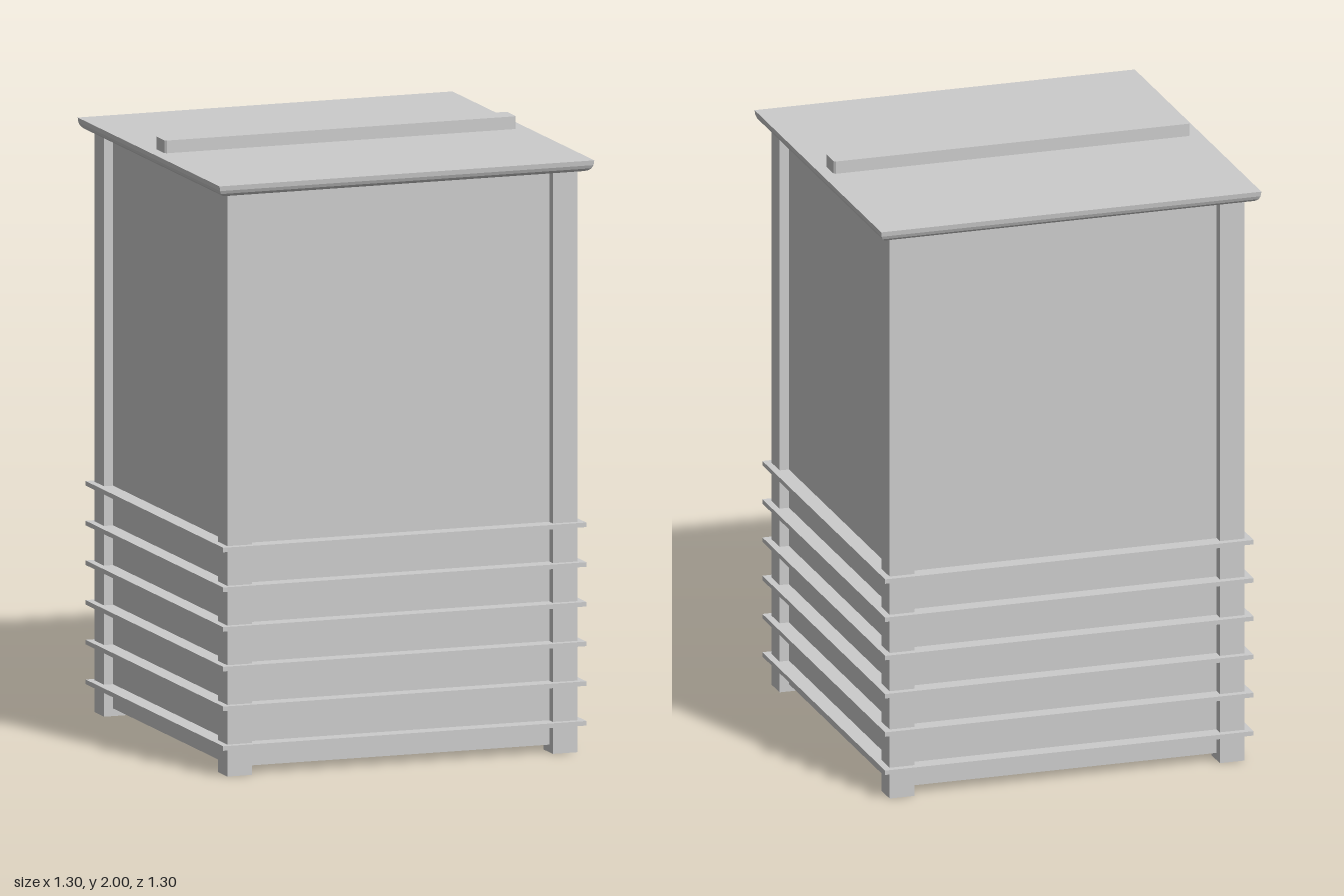
import * as THREE from 'three';

export function createModel() {
  const group = new THREE.Group();
  const material = new THREE.MeshStandardMaterial({ color: 0xcccccc, flatShading: true });

  const add = (name, geometry, x = 0, y = 0, z = 0) => {
    const mesh = new THREE.Mesh(geometry, material);
    mesh.name = name;
    mesh.position.set(x, y, z);
    group.add(mesh);
    return mesh;
  };

  // Recessed body panels
  const bodyBottom = 0.025, lidBottom = 1.92;
  const bodyHeight = lidBottom - bodyBottom;
  add('body', new THREE.BoxGeometry(1.15, bodyHeight, 1.15), 0, bodyBottom + bodyHeight / 2, 0);

  // Corner posts, which end in short feet
  const post = new THREE.BoxGeometry(0.085, lidBottom, 0.085);
  for (const sx of [-1, 1]) {
    for (const sz of [-1, 1]) {
      add('cornerPost', post, sx * 0.5645, lidBottom / 2, sz * 0.5645);
    }
  }

  // Evenly spaced slats around the lower part
  const slat = new THREE.BoxGeometry(1.26, 0.015, 1.26);
  for (let i = 0; i < 6; i++) add('slat', slat, 0, 0.098 + i * 0.131, 0);

  // Square lid with a rounded lower edge
  const profile = [
    [0, lidBottom], [0.625, lidBottom], [0.635, 1.924], [0.643, 1.931],
    [0.648, 1.942], [0.65, 1.958], [0, 1.958],
  ].map(([halfWidth, y]) => new THREE.Vector2(halfWidth * Math.SQRT2, y));
  const lid = new THREE.LatheGeometry(profile, 4).rotateY(Math.PI / 4).toNonIndexed();
  lid.computeVertexNormals();
  add('lid', lid);

  // Batten across the lid, with its upright corners trimmed
  const hx = 0.609, hz = 0.0425, c = 0.006;
  const outline = new THREE.Shape([
    [-hx + c, -hz], [hx - c, -hz], [hx, -hz + c], [hx, hz - c],
    [hx - c, hz], [-hx + c, hz], [-hx, hz - c], [-hx, -hz + c],
  ].map(([x, y]) => new THREE.Vector2(x, y)));
  const batten = new THREE.ExtrudeGeometry(outline, { depth: 0.05, bevelEnabled: false });
  batten.rotateX(-Math.PI / 2);
  add('lidBatten', batten, 0, 1.95, 0);

  return group;
}
